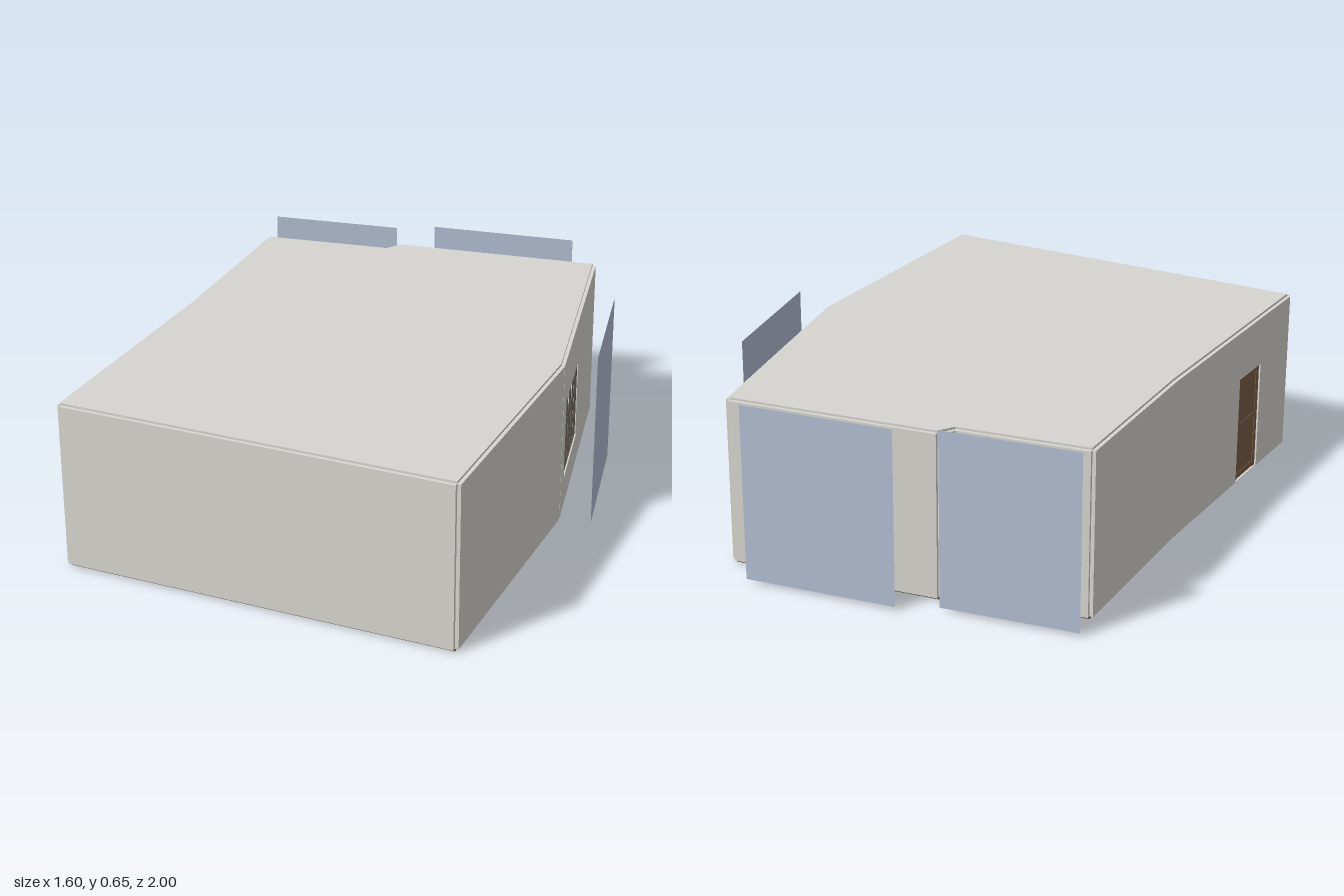
import * as THREE from 'three';

const mat = (name, color, extra = {}) => {
  const m = new THREE.MeshStandardMaterial({ color, ...extra });
  m.name = name;
  return m;
};

const T = 0.013;                 // wall thickness
const Y0 = 0.01, Y1 = 0.605;     // wall bottom and top
const TOP = 0.613;

// Inner outline of the room as [x, z], going round so walls grow outward
const OUTLINE = [
  [-0.743, 0.985], [0.674, 0.985], [0.674, 0.025], [0.474, -0.892],
  [-0.275, -0.787], [-0.31, -0.73], [-0.774, -0.66], [-0.743, 0],
];

// Openings by wall index: centre along the wall, width, bottom, top
const OPENINGS = {
  2: { kind: 'window', at: 0.261, w: 0.34, y0: 0.13, y1: 0.43, backdrop: 0.547, gap: 0.126 },
  3: { kind: 'window', at: 0.378, w: 0.34, y0: 0.13, y1: 0.43, backdrop: 0.55, gap: 0.126 },
  5: { kind: 'window', at: 0.236, w: 0.28, y0: 0.13, y1: 0.43, backdrop: 0.49, gap: 0.126 },
  7: { kind: 'door', at: 0.638, w: 0.185, y0: 0.012, y1: 0.42 },
};

export function createModel() {
  const root = new THREE.Group();
  root.name = 'room';
  const wallMat = mat('wall plaster', 0xd8d6d0);
  const ceilingMat = mat('ceiling white', 0xd6d5d2);
  const floorMat = mat('floor wood', 0x6a5646);
  const doorMat = mat('door wood', 0x7a5f48);
  const frameMat = mat('window frame', 0x55504a);
  const skyMat = mat('backdrop blue', 0xb3bfd2, { side: THREE.DoubleSide });

  const add = (parent, name, geo, material, x = 0, y = 0, z = 0) => {
    const m = new THREE.Mesh(geo, material);
    m.name = name;
    m.position.set(x, y, z);
    parent.add(m);
    return m;
  };
  const box = (parent, name, material, w, h, d, x, y, z) =>
    add(parent, name, new THREE.BoxGeometry(w, h, d), material, x, y, z);

  // Floor and ceiling slabs
  const slab = (name, material, y, h) => {
    const shape = new THREE.Shape(OUTLINE.map(([x, z]) => new THREE.Vector2(x, -z)));
    const geo = new THREE.ExtrudeGeometry(shape, { depth: h, bevelEnabled: false });
    geo.rotateX(-Math.PI / 2);
    add(root, name, geo, material, 0, y, 0);
  };
  slab('floor', floorMat, 0, Y0);
  slab('ceiling', ceilingMat, Y1, TOP - Y1);

  // Window: outer frame, glazing bars and sill
  const addWindow = (g, o) => {
    const h = o.y1 - o.y0, cy = (o.y0 + o.y1) / 2, b = 0.01, z = T * 0.45;
    for (const s of [-1, 1]) {
      box(g, 'windowJamb', frameMat, b, h, 0.008, o.at + s * (o.w - b) / 2, cy, z);
      box(g, 'windowRail', frameMat, o.w, b, 0.008, o.at, cy + s * (h - b) / 2, z);
    }
    for (let i = 1; i < 4; i++)
      box(g, 'verticalBar', frameMat, 0.006, h, 0.006, o.at - o.w / 2 + (o.w * i) / 4, cy, z);
    for (let i = 1; i < 3; i++)
      box(g, 'horizontalBar', frameMat, o.w, 0.006, 0.006, o.at, o.y0 + (h * i) / 3, z);
    box(g, 'windowSill', wallMat, o.w, 0.008, T, o.at, o.y0 + 0.003, T / 2 + 0.002);
    // Sky panel standing outside the window
    add(g, 'skyPanel', new THREE.PlaneGeometry(o.backdrop, 0.638), skyMat, o.at, 0.331, o.gap);
  };

  // Door: leaf with stiles and rails around two sunken panels
  const addDoor = (g, o) => {
    const h = o.y1 - o.y0, cy = (o.y0 + o.y1) / 2, z = 0.004;
    box(g, 'doorLeaf', doorMat, o.w, h, 0.004, o.at, cy, 0.002);
    for (const s of [-1, 1])
      box(g, 'doorStile', doorMat, 0.022, h, 0.005, o.at + s * (o.w - 0.022) / 2, cy, z);
    for (const y of [o.y0 + 0.014, o.y0 + h * 0.52, o.y1 - 0.012])
      box(g, 'doorRail', doorMat, o.w - 0.044, 0.022, 0.005, o.at, y, z);
  };

  // Walls, each built flat and turned to its side of the outline
  OUTLINE.forEach(([x, z], i) => {
    const [nx, nz] = OUTLINE[(i + 1) % OUTLINE.length];
    const len = Math.hypot(nx - x, nz - z);
    const g = new THREE.Group();
    g.name = 'wallSide' + (i + 1);
    g.position.set(x, 0, z);
    g.rotation.y = Math.atan2(z - nz, nx - x);
    root.add(g);

    const shape = new THREE.Shape([
      new THREE.Vector2(0, Y0), new THREE.Vector2(len, Y0),
      new THREE.Vector2(len, Y1), new THREE.Vector2(0, Y1),
    ]);
    const o = OPENINGS[i];
    if (o) {
      const a = o.at - o.w / 2, b = o.at + o.w / 2;
      shape.holes.push(new THREE.Path([
        new THREE.Vector2(a, o.y0), new THREE.Vector2(a, o.y1),
        new THREE.Vector2(b, o.y1), new THREE.Vector2(b, o.y0),
      ]));
      (o.kind === 'door' ? addDoor : addWindow)(g, o);
    }
    add(g, 'wall', new THREE.ExtrudeGeometry(shape, { depth: T, bevelEnabled: false }), wallMat);
  });

  return root;
}
